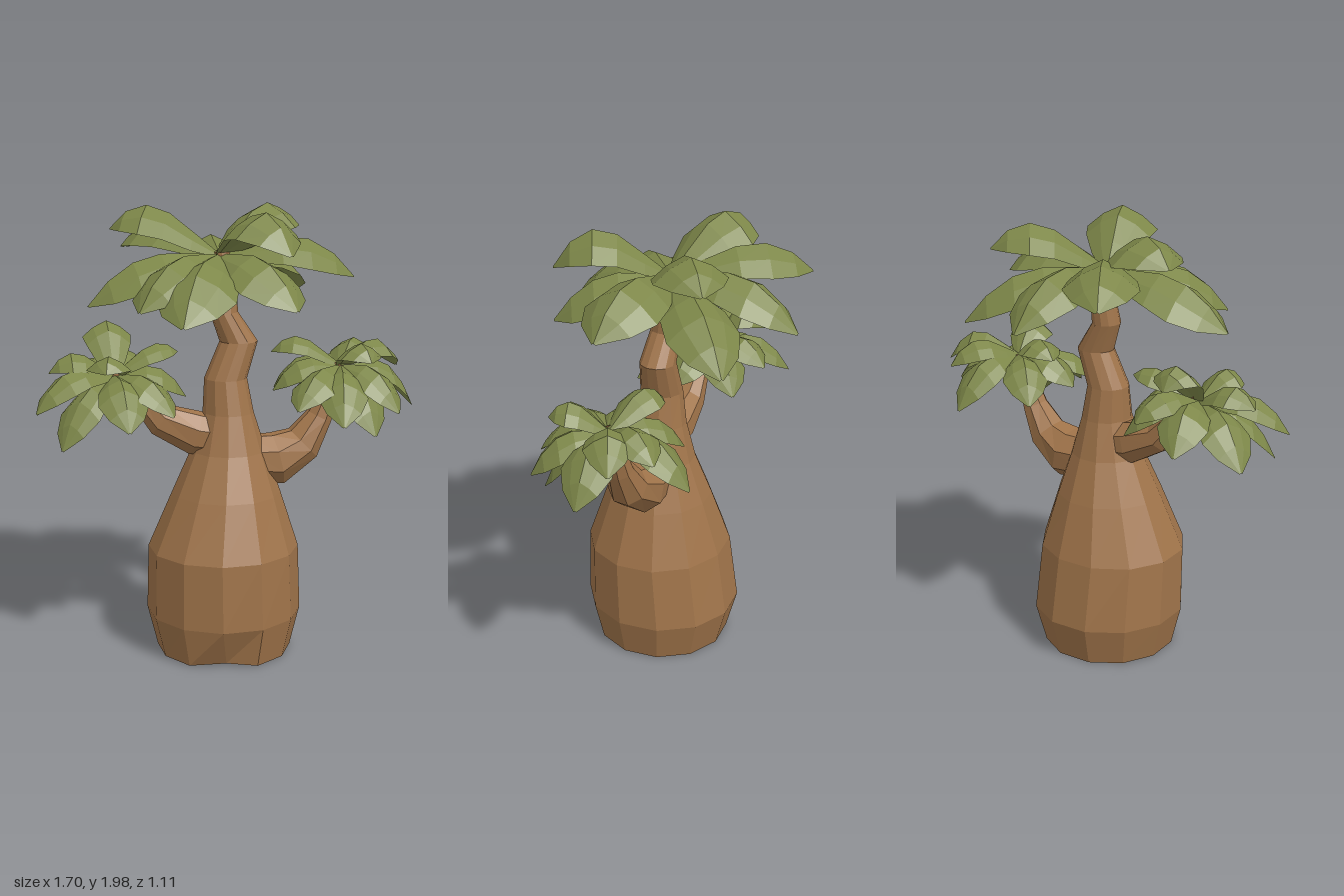
import * as THREE from 'three';

const bark = new THREE.MeshStandardMaterial({ color: 0xa0744a, flatShading: true, side: THREE.DoubleSide });
bark.name = 'bark brown';
const foliage = new THREE.MeshStandardMaterial({ color: 0x7d8749, flatShading: true, side: THREE.DoubleSide });
foliage.name = 'leaf green';

const V = (x, y, z) => new THREE.Vector3(x, y, z);

function meshFrom(name, triangles, material) {
  const geometry = new THREE.BufferGeometry().setFromPoints(triangles);
  geometry.computeVertexNormals();
  const mesh = new THREE.Mesh(geometry, material);
  mesh.name = name;
  return mesh;
}

// Two triangles for each cell between neighbouring rows of points.
function skin(rows, closed) {
  const tris = [];
  const n = rows[0].length;
  for (let i = 0; i < rows.length - 1; i++) {
    for (let j = 0; j < (closed ? n : n - 1); j++) {
      const k = (j + 1) % n;
      const a = rows[i][j], b = rows[i][k], c = rows[i + 1][k], d = rows[i + 1][j];
      tris.push(a, b, c, a, c, d);
    }
  }
  return tris;
}

function ring(center, u, v, sides, phase) {
  return Array.from({ length: sides }, (_, j) => {
    const a = phase + (j / sides) * Math.PI * 2;
    return center.clone().addScaledVector(u, Math.cos(a)).addScaledVector(v, Math.sin(a));
  });
}

// Swollen hollow trunk, open below: y, centre x, centre z, radius x, radius z.
function makeTrunk() {
  const sections = [
    [0.01, -0.02, 0.07, 0.30, 0.305],
    [0.19, -0.02, 0.065, 0.345, 0.35],
    [0.49, -0.025, 0.085, 0.335, 0.325],
    [0.74, -0.01, 0.08, 0.24, 0.24],
    [0.93, 0.0, 0.075, 0.165, 0.165],
    [1.10, 0.0, 0.07, 0.112, 0.12],
    [1.25, -0.01, 0.065, 0.094, 0.095],
    [1.41, 0.05, 0.055, 0.084, 0.08],
    [1.54, -0.015, 0.045, 0.062, 0.068],
    [1.66, -0.005, 0.03, 0.052, 0.06],
    [1.80, -0.02, 0.03, 0.035, 0.04],
  ];
  const rings = sections.map(([y, x, z, rx, rz]) =>
    ring(V(x, y, z), V(rx, 0, 0), V(0, 0, -rz), 12, -0.2));
  // Small crease in the foot at the front
  rings[0][9].add(V(0.02, 0.01, -0.04));
  return meshFrom('trunk', skin(rings, true), bark);
}

// Branch: x, y, z, radius along its path.
function makeBranch(name, path) {
  const pts = path.map(([x, y, z]) => V(x, y, z));
  const rings = pts.map((p, i) => {
    const t = pts[Math.min(i + 1, pts.length - 1)].clone().sub(pts[Math.max(i - 1, 0)]).normalize();
    const v = t.clone().cross(V(0, 0, 1)).normalize();
    const u = v.clone().cross(t);
    const r = path[i][3];
    return ring(p, u.multiplyScalar(r), v.multiplyScalar(r), 8, 0.3);
  });
  return meshFrom(name, skin(rings, true), bark);
}

// Broad arched leaf, rounded down from its midrib and highest past the middle.
function makeLeaf(base, tip, width, arch) {
  const across = V(tip.z - base.z, 0, base.x - tip.x).normalize();
  const profile = [[0, 0.16], [0.22, 0.66], [0.45, 1.02], [0.66, 1.14], [0.85, 0.78], [1, 0.06]];
  const rows = profile.map(([t, w]) => {
    const mid = base.clone().lerp(tip, t);
    const s = t ** 1.35;
    mid.y += arch * 4 * s * (1 - s);
    const half = (w * width) / 2;
    return [[-1, -0.64], [-0.55, -0.26], [0, 0], [0.55, -0.26], [1, -0.64]].map(([side, drop]) =>
      mid.clone().addScaledVector(across, side * half).add(V(0, drop * half, 0)));
  });
  return meshFrom('leaf', skin(rows, false), foliage);
}

// Crown: one leaf per tip, given as x, y, z, width, arch.
function makeCrown(name, center, leaves) {
  const crown = new THREE.Group();
  crown.name = name;
  leaves.forEach(([x, y, z, width, arch]) => crown.add(makeLeaf(center, V(x, y, z), width, arch)));
  return crown;
}

export function createModel() {
  const tree = new THREE.Group();
  tree.name = 'tree';

  tree.add(makeTrunk());
  tree.add(makeBranch('leftBranch', [
    [0.08, 0.88, 0.07, 0.11], [0.22, 0.875, 0.07, 0.12], [0.34, 0.94, 0.07, 0.09],
    [0.415, 1.06, 0.07, 0.06], [0.47, 1.20, 0.07, 0.042], [0.51, 1.29, 0.07, 0.03],
  ]));
  tree.add(makeBranch('rightBranch', [
    [-0.03, 0.99, 0.07, 0.09], [-0.15, 1.01, 0.07, 0.098], [-0.30, 1.075, 0.06, 0.075],
    [-0.39, 1.18, 0.05, 0.05], [-0.50, 1.29, 0.05, 0.03],
  ]));

  tree.add(makeCrown('topCrown', V(-0.03, 1.79, 0.03), [
    // drooping leaves
    [0.0, 1.63, -0.56, 0.27, 0.14],
    [0.42, 1.57, -0.39, 0.28, 0.12],
    [0.55, 1.69, 0.11, 0.31, 0.13],
    [0.21, 1.60, 0.47, 0.29, 0.11],
    [-0.28, 1.56, 0.55, 0.30, 0.11],
    [-0.43, 1.60, 0.37, 0.28, 0.11],
    [-0.61, 1.59, 0.09, 0.31, 0.11],
    [-0.37, 1.77, -0.49, 0.28, 0.13],
    // raised leaves
    [-0.48, 1.89, -0.16, 0.30, 0.14],
    [0.36, 1.88, -0.28, 0.28, 0.14],
    [0.18, 1.83, 0.48, 0.28, 0.18],
  ]));

  tree.add(makeCrown('leftCrown', V(0.51, 1.29, 0.07), [
    [0.85, 1.09, 0.06, 0.20, 0.12],
    [0.70, 1.12, 0.34, 0.19, 0.10],
    [0.60, 1.02, 0.33, 0.19, 0.10],
    [0.43, 1.09, 0.43, 0.19, 0.10],
    [0.25, 1.15, 0.35, 0.18, 0.08],
    [0.20, 1.19, 0.08, 0.19, 0.09],
    [0.26, 1.15, -0.16, 0.18, 0.10],
    [0.55, 1.11, -0.31, 0.19, 0.12],
    [0.68, 1.27, -0.21, 0.18, 0.10],
    [0.81, 1.25, -0.07, 0.18, 0.12],
    [0.22, 1.34, -0.04, 0.17, 0.09],
    [0.58, 1.34, 0.31, 0.18, 0.09],
  ]));

  tree.add(makeCrown('rightCrown', V(-0.50, 1.28, 0.05), [
    [-0.85, 1.16, 0.22, 0.19, 0.11],
    [-0.75, 1.01, 0.28, 0.19, 0.10],
    [-0.48, 1.10, 0.39, 0.19, 0.10],
    [-0.28, 1.14, 0.31, 0.18, 0.09],
    [-0.19, 1.18, 0.08, 0.19, 0.09],
    [-0.27, 1.14, -0.17, 0.18, 0.10],
    [-0.40, 1.25, -0.27, 0.18, 0.10],
    [-0.62, 1.16, -0.31, 0.19, 0.11],
    [-0.82, 1.08, -0.11, 0.20, 0.11],
    [-0.78, 1.30, 0.05, 0.18, 0.09],
    [-0.21, 1.36, -0.02, 0.16, 0.07],
    [-0.51, 1.40, -0.23, 0.19, 0.13],
    [-0.56, 1.33, 0.28, 0.17, 0.08],
  ]));

  return tree;
}
